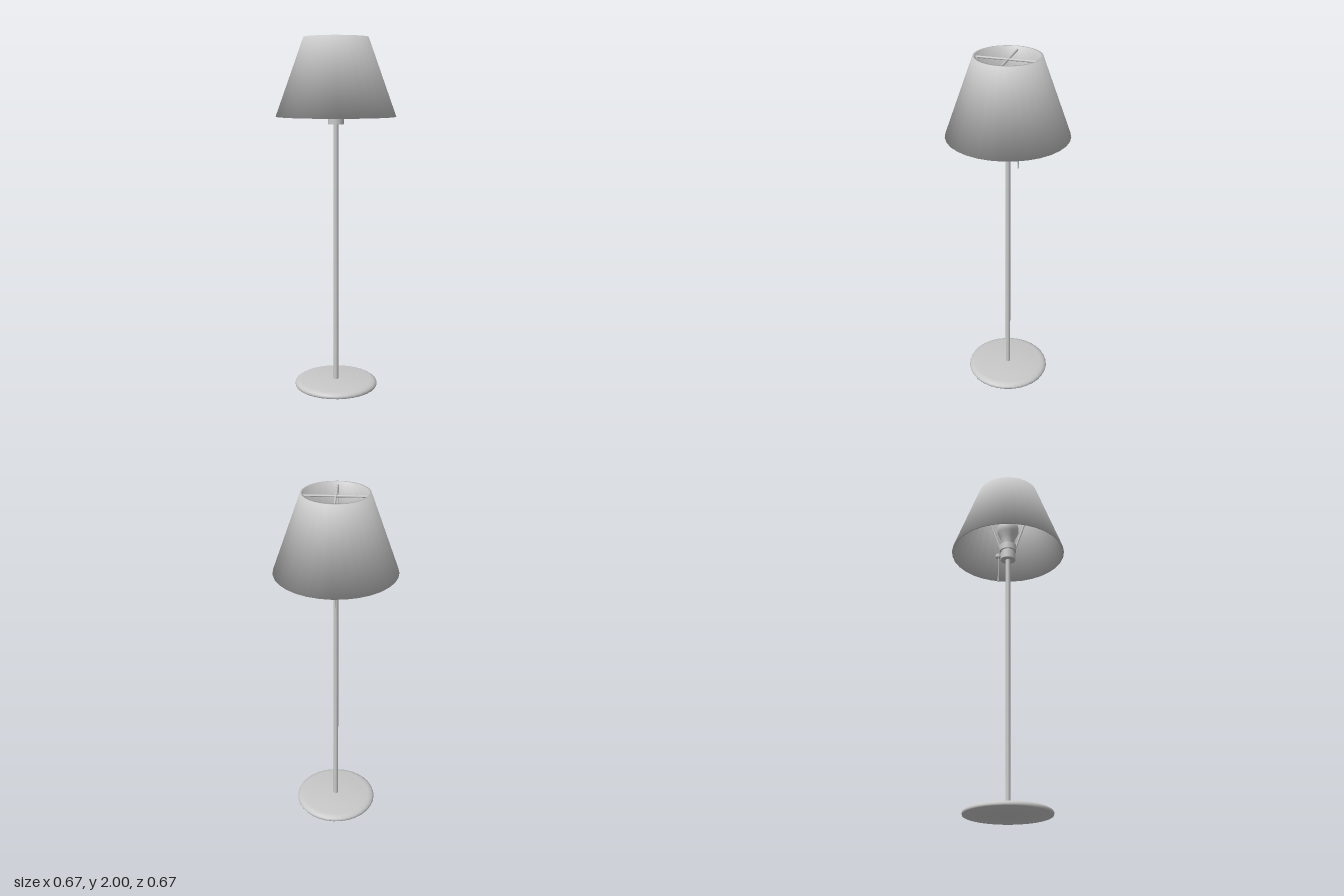
import * as THREE from 'three';

const grey = new THREE.MeshStandardMaterial({ color: 0xc8c8c8 });
grey.name = 'plain grey';

// Turned part whose normals blend evenly across every profile corner
function turned(name, profile, segments = 32) {
  const pts = profile.map(([r, y]) => new THREE.Vector2(r, y));
  const geo = new THREE.LatheGeometry(pts, segments);
  const edges = pts.slice(1).map((p, i) => {
    const d = p.clone().sub(pts[i]).normalize();
    return new THREE.Vector2(d.y, -d.x);
  });
  const normal = geo.attributes.normal;
  for (let s = 0; s <= segments; s++) {
    const phi = (s / segments) * Math.PI * 2;
    pts.forEach((p, j) => {
      const n = new THREE.Vector2();
      if (j > 0) n.add(edges[j - 1]);
      if (j < edges.length) n.add(edges[j]);
      n.normalize();
      normal.setXYZ(s * pts.length + j, n.x * Math.sin(phi), n.y, n.x * Math.cos(phi));
    });
  }
  const mesh = new THREE.Mesh(geo, grey);
  mesh.name = name;
  return mesh;
}

// Round bar between two points
function rod(name, from, to, radius, sides = 12) {
  const a = new THREE.Vector3(...from), b = new THREE.Vector3(...to);
  const dir = b.clone().sub(a);
  const mesh = new THREE.Mesh(new THREE.CylinderGeometry(radius, radius, dir.length(), sides), grey);
  mesh.position.copy(a).add(b).multiplyScalar(0.5);
  mesh.quaternion.setFromUnitVectors(new THREE.Vector3(0, 1, 0), dir.normalize());
  mesh.name = name;
  return mesh;
}

export function createModel() {
  const lamp = new THREE.Group();
  lamp.name = 'floorLamp';

  // Foot and pole
  lamp.add(turned('base', [
    [0, 0], [0.238, 0], [0.241, 0.008], [0.237, 0.018], [0.225, 0.026], [0.205, 0.031], [0, 0.031],
  ]));
  lamp.add(rod('pole', [0, 0.02, 0], [0, 1.54, 0], 0.014, 16));

  // Hollow shade with thin rims
  lamp.add(turned('shade', [
    [0.332, 1.567], [0.337, 1.567], [0.18, 2], [0.168, 2], [0.327, 1.567], [0.332, 1.567],
  ]));

  // Socket in two steps
  const socket = new THREE.Group();
  socket.name = 'socket';
  [[0.045, 1.525, 1.572], [0.04, 1.572, 1.585], [0.05, 1.585, 1.625]].forEach(([r, y0, y1]) =>
    socket.add(rod('socketCollar', [0, y0, 0], [0, y1, 0], r, 24)));
  lamp.add(socket);

  // Pear-shaped bulb
  const bulbProfile = [[0.034, 1.62], [0.036, 1.645], [0.046, 1.678]];
  for (let i = 0; i <= 10; i++) {
    const a = -0.45 + (i / 10) * (Math.PI / 2 + 0.45);
    bulbProfile.push([i === 10 ? 0 : 0.066 * Math.cos(a), 1.735 + 0.066 * Math.sin(a)]);
  }
  lamp.add(turned('bulb', bulbProfile, 24));

  // Switch with pull cord at the back
  lamp.add(rod('switchStem', [0, 1.555, -0.035], [0, 1.555, -0.06], 0.01));
  lamp.add(rod('switchKnob', [0, 1.545, -0.057], [0, 1.565, -0.057], 0.017, 16));
  lamp.add(rod('pullCord', [0, 1.39, -0.058], [0, 1.55, -0.058], 0.003, 8));
  lamp.add(rod('cordEnd', [0, 1.38, -0.058], [0, 1.40, -0.058], 0.005, 8));

  // Cross inside the top of the shade, with two struts down to the socket
  lamp.add(rod('crossBarX', [-0.172, 1.98, 0], [0.172, 1.98, 0], 0.006));
  lamp.add(rod('crossBarZ', [0, 1.98, -0.172], [0, 1.98, 0.172], 0.006));
  for (const s of [-1, 1]) {
    lamp.add(rod('strut', [0, 1.605, 0.045 * s], [0, 1.98, 0.168 * s], 0.006));
  }
  return lamp;
}
